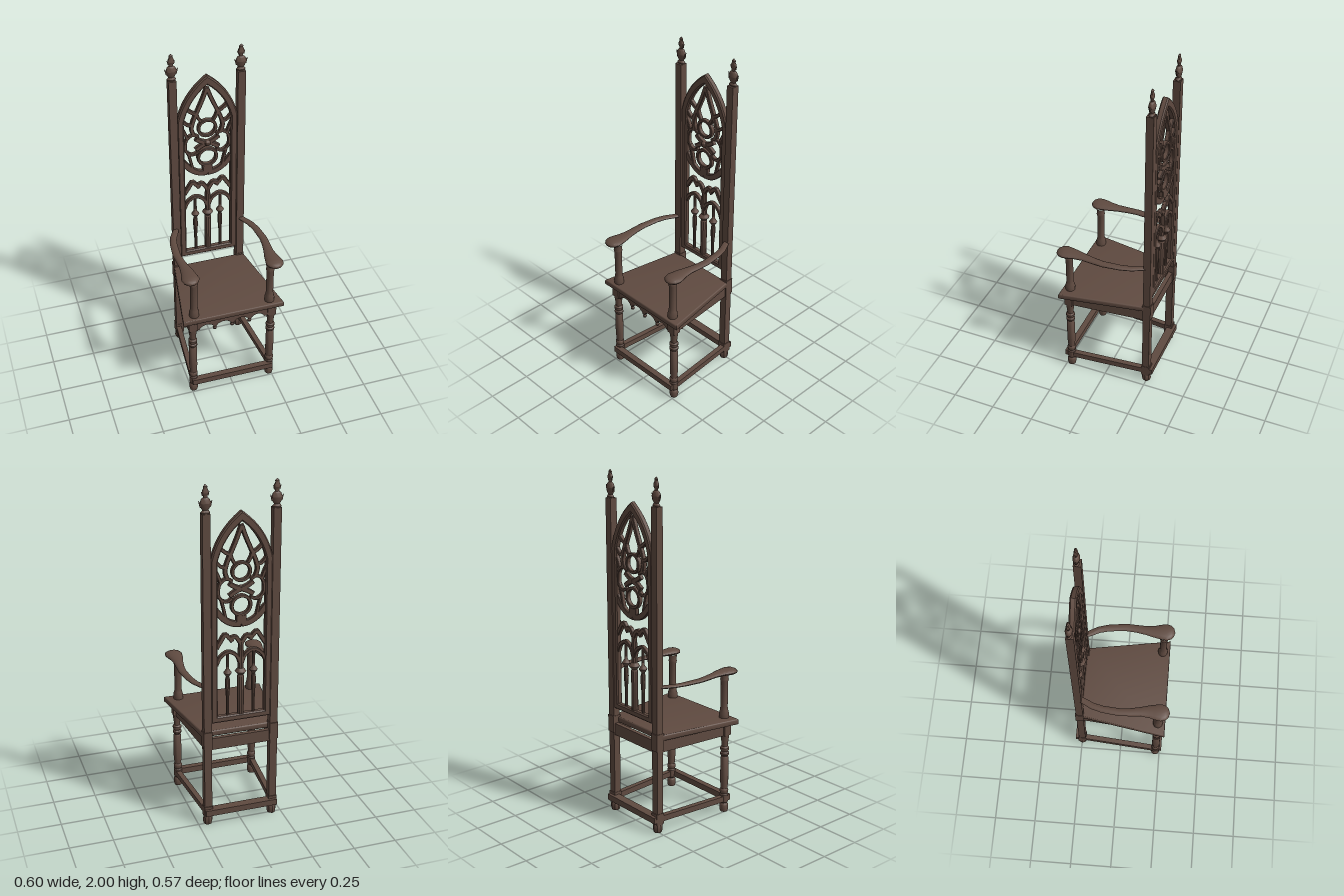
import * as THREE from 'three';
import { toCreasedNormals } from 'three/addons/utils/BufferGeometryUtils.js';

const V2 = (x, y) => new THREE.Vector2(x, y);

export function createModel() {
  const chair = new THREE.Group();
  chair.name = 'gothicArmchair';
  const wood = new THREE.MeshStandardMaterial({ color: 0x5f4a40 });
  wood.name = 'darkWood';

  const add = (name, geo, x = 0, y = 0, z = 0) => {
    const mesh = new THREE.Mesh(toCreasedNormals(geo, 0.6), wood);
    mesh.name = name;
    mesh.position.set(x, y, z);
    chair.add(mesh);
    return mesh;
  };
  const box = (name, w, h, d, x, y, z) => add(name, new THREE.BoxGeometry(w, h, d), x, y, z);
  // Turned part from [radius, height] pairs
  const turned = (name, pairs, x, z, sides = 16) =>
    add(name, new THREE.LatheGeometry(pairs.map(([r, y]) => V2(r, y)), sides), x, 0, z);
  // Flat shape given thickness, centred on depth z, with a small bevel
  const plate = (name, shape, depth, z, bevel = 0.004) => {
    const geo = new THREE.ExtrudeGeometry(shape, {
      depth: depth - 2 * bevel, bevelEnabled: true, bevelThickness: bevel,
      bevelSize: bevel, bevelOffset: -bevel, bevelSegments: 1, curveSegments: 14,
    });
    geo.translate(0, 0, bevel - depth / 2);
    return add(name, geo, 0, 0, z);
  };
  // Strip of constant width following a smooth curve in the back panel
  const BACK = -0.248;
  const strip = (name, pts, width, closed = false) => {
    const curve = new THREE.SplineCurve(pts.map(([x, y]) => V2(x, y)));
    const left = [], right = [], n = 16;
    for (let i = 0; i <= n; i++) {
      const p = curve.getPoint(i / n), t = curve.getTangent(i / n);
      left.push(V2(p.x - t.y * width / 2, p.y + t.x * width / 2));
      right.unshift(V2(p.x + t.y * width / 2, p.y - t.x * width / 2));
    }
    return plate(name, new THREE.Shape([...left, ...right]), 0.024, BACK, 0.003);
  };
  const ring = (name, x, y, outer, inner) => {
    const s = new THREE.Shape().absarc(x, y, outer, 0, Math.PI * 2);
    s.holes.push(new THREE.Path().absarc(x, y, inner, 0, Math.PI * 2, true));
    return plate(name, s, 0.026, BACK, 0.003);
  };
  // Straight bar between two floor-plan points
  const bar = (name, x0, z0, x1, z1, y, h, d) => {
    const m = box(name, Math.hypot(x1 - x0, z1 - z0), h, d, (x0 + x1) / 2, y, (z0 + z1) / 2);
    m.rotation.y = -Math.atan2(z1 - z0, x1 - x0);
  };

  // Tapered seat board
  const seat = new THREE.ExtrudeGeometry(
    new THREE.Shape([V2(-0.302, -0.267), V2(0.302, -0.267), V2(0.218, 0.235), V2(-0.218, 0.235)]),
    { depth: 0.019, bevelThickness: 0.008, bevelSize: 0.008, bevelOffset: -0.008, bevelSegments: 3 });
  seat.rotateX(-Math.PI / 2);
  add('seat', seat, 0, 0.558, 0);

  // Front apron with scallops and hanging drops
  const apron = new THREE.Shape([V2(0.215, 0.552), V2(-0.215, 0.552), V2(-0.215, 0.48)]);
  const stops = [-0.2, -0.105, 0, 0.105, 0.2];
  apron.lineTo(stops[0], 0.48);
  for (let i = 1; i < stops.length; i++) {
    const a = stops[i - 1], b = stops[i];
    apron.bezierCurveTo(a + 0.018, 0.517, b - 0.018, 0.517, b - 0.008, 0.48);
    apron.lineTo(b + (i < 4 ? 0.008 : 0), 0.48);
  }
  apron.lineTo(0.215, 0.48);
  plate('frontApron', apron, 0.024, 0.228, 0.002);
  for (const x of [-0.105, 0, 0.105])
    turned('apronDrop', [[0.0, 0.452], [0.01, 0.459], [0.012, 0.468], [0.007, 0.476], [0.012, 0.484], [0.01, 0.5]], x, 0.228, 10);
  box('backApron', 0.36, 0.07, 0.025, 0, 0.515, -0.248);

  // Low front and back stretchers
  box('frontStretcher', 0.5, 0.036, 0.035, 0, 0.083, 0.243);
  box('backStretcher', 0.43, 0.036, 0.05, 0, 0.083, -0.262);

  const finial = [[0.022, 1.84], [0.026, 1.852], [0.016, 1.864], [0.024, 1.876], [0.031, 1.9], [0.023, 1.922],
    [0.012, 1.93], [0.012, 1.94], [0.019, 1.953], [0.017, 1.966], [0.011, 1.978], [0.012, 1.988], [0, 2]];
  const frontLeg = [[0, 0], [0.022, 0.002], [0.026, 0.02], [0.025, 0.045], [0.018, 0.055], [0.024, 0.062],
    [0.025, 0.108], [0.02, 0.115], [0.025, 0.125], [0.025, 0.14], [0.02, 0.148], [0.024, 0.2], [0.023, 0.34],
    [0.018, 0.35], [0.026, 0.36], [0.026, 0.37], [0.019, 0.378], [0.026, 0.39], [0.026, 0.402], [0.018, 0.412],
    [0.019, 0.43], [0.024, 0.47], [0.026, 0.485]];
  const armPost = [[0.028, 0.583], [0.029, 0.612], [0.023, 0.632], [0.021, 0.65], [0.021, 0.8], [0.025, 0.815],
    [0.022, 0.826], [0.026, 0.855]];
  const column = [[0.009, 0.68], [0.009, 0.79], [0.014, 0.86], [0.013, 0.9], [0.009, 0.915], [0.024, 0.938],
    [0.009, 0.96], [0.009, 1.055]];
  // Arm stations: x, y, z, half width, half height
  const armStations = [[0.196, 0.859, -0.24, 0.016, 0.008], [0.206, 0.859, -0.215, 0.018, 0.009],
    [0.234, 0.86, -0.16, 0.02, 0.009], [0.25, 0.861, -0.1, 0.021, 0.01], [0.26, 0.862, 0, 0.023, 0.011],
    [0.256, 0.863, 0.06, 0.024, 0.012], [0.249, 0.865, 0.12, 0.028, 0.013], [0.245, 0.866, 0.17, 0.038, 0.015],
    [0.246, 0.866, 0.2, 0.045, 0.017], [0.246, 0.866, 0.235, 0.051, 0.019], [0.247, 0.866, 0.262, 0.043, 0.017],
    [0.247, 0.865, 0.278, 0.026, 0.011], [0.247, 0.865, 0.285, 0.0005, 0.0005]];

  for (const s of [-1, 1]) {
    const bx = s * 0.194;
    // Back post with foot and seat block
    box('backPost', 0.044, 1.80, 0.042, bx, 0.945, -0.245);
    box('backPostBlock', 0.05, 0.1, 0.05, bx, 0.545, -0.246);
    box('backPostAnkle', 0.049, 0.065, 0.049, bx, 0.085, -0.246);
    turned('backFoot', [[0, 0], [0.023, 0.001], [0.028, 0.02], [0.027, 0.042], [0.02, 0.056]], bx, -0.246, 8);

    // Flattened finial with paired leaves
    turned('finial', finial, bx, -0.248, 12).scale.z = 0.62;
    for (const [y, reach, size] of [[1.9, 0.029, 0.024], [1.953, 0.017, 0.016]])
      for (const side of [-1, 1]) {
        const leaf = add('finialLeaf', new THREE.ConeGeometry(size * 0.5, size * 1.5, 6), bx + side * reach, y, -0.248);
        leaf.rotation.z = -side * 0.55;
        leaf.scale.z = 0.7;
      }

    // Front leg, arm post and side rails
    turned('frontLeg', frontLeg, s * 0.237, 0.223);
    box('frontLegBlock', 0.052, 0.075, 0.048, s * 0.237, 0.52, 0.223);
    turned('armPost', armPost, s * 0.226, 0.223);
    bar('sideApron', s * 0.237, 0.21, s * 0.196, -0.235, 0.515, 0.068, 0.026);
    bar('sideStretcher', s * 0.24, 0.225, s * 0.2, -0.245, 0.083, 0.034, 0.03);

    // Swept arm, lofted from elliptical sections and swelling into a round end
    const pts = armStations.map(([x, y, z]) => new THREE.Vector3(s * x, y, z));
    const pos = [], idx = [], N = 14, up = new THREE.Vector3(0, 1, 0);
    pts.forEach((p, i) => {
      const t = pts[Math.min(i + 1, pts.length - 1)].clone().sub(pts[Math.max(i - 1, 0)]).setY(0).normalize();
      const n = up.clone().cross(t);
      const [, , , w, h] = armStations[i];
      for (let j = 0; j < N; j++) {
        const a = j / N * Math.PI * 2;
        pos.push(p.x + n.x * w * Math.cos(a), p.y + h * Math.sin(a), p.z + n.z * w * Math.cos(a));
        if (i < pts.length - 1) {
          const k = i * N + j, l = i * N + (j + 1) % N;
          idx.push(k, l, k + N, l, l + N, k + N);
        }
      }
    });
    const arm = new THREE.BufferGeometry();
    arm.setAttribute('position', new THREE.Float32BufferAttribute(pos, 3));
    arm.setIndex(idx);
    add('arm', arm);

    // Lower tracery: slim column, round arch and ogee arch
    turned('tracerySideColumn', column, s * 0.075, BACK, 10);
    const m = (list) => list.map(([x, y]) => [s * x, y]);
    strip('lancetArch', m([[0.006, 0.99], [0.025, 1.035], [0.072, 1.062], [0.118, 1.035], [0.14, 0.99]]), 0.02);
    strip('ogeeArch', m([[0, 1.1], [0.03, 1.145], [0.062, 1.14], [0.09, 1.165], [0.115, 1.13], [0.14, 1.09]]), 0.024);
    strip('ogeeCusp', m([[0.05, 1.12], [0.06, 1.135], [0.066, 1.15]]), 0.022);

    // Rose tracery: lower sweep, side lobes, crossing cusps
    strip('roseSweep', m([[0, 1.218], [0.05, 1.226], [0.1, 1.258], [0.142, 1.31]]), 0.034);
    strip('roseSideLobe', m([[0.05, 1.37], [0.085, 1.352], [0.122, 1.378], [0.128, 1.42], [0.118, 1.46], [0.085, 1.482], [0.05, 1.465]]), 0.017);
    for (const v of [-1, 1])
      strip('roseCusp', m([[0, 1.418], [0.035, 1.418 + v * 0.014], [0.068, 1.418 + v * 0.036]]), 0.026);
    strip('roseTie', m([[0.115, 1.46], [0.128, 1.5], [0.142, 1.53]]), 0.018);
    strip('lowerTie', m([[0.115, 1.375], [0.1, 1.32], [0.085, 1.25]]), 0.016);

    // Upper tracery: teardrop sides and short branches to the frame
    strip('teardropSide', m([[0, 1.77], [0.025, 1.7], [0.055, 1.63], [0.08, 1.57], [0.09, 1.52], [0.075, 1.475]]), 0.023);
    strip('teardropBranch', m([[0.06, 1.615], [0.085, 1.625], [0.12, 1.655]]), 0.02);
    strip('shoulderBranch', m([[0.083, 1.55], [0.11, 1.55], [0.14, 1.58]]), 0.018);
    strip('ringBranch', m([[0.035, 1.56], [0.05, 1.585], [0.06, 1.615]]), 0.018);
  }

  // Pointed back frame
  const frame = new THREE.Shape([V2(-0.174, 0.645), V2(0.174, 0.645), V2(0.174, 1.58)]);
  frame.quadraticCurveTo(0.14, 1.745, 0, 1.847);
  frame.quadraticCurveTo(-0.14, 1.745, -0.174, 1.58);
  const opening = new THREE.Path([V2(-0.135, 0.682), V2(-0.135, 1.575)]);
  opening.quadraticCurveTo(-0.1, 1.715, 0, 1.79);
  opening.quadraticCurveTo(0.1, 1.715, 0.135, 1.575);
  opening.lineTo(0.135, 0.682);
  frame.holes.push(opening);
  plate('backFrame', frame, 0.036, BACK, 0.007);

  // Centre mullion and rose rings
  turned('centreMullion', [[0.019, 0.68], [0.019, 0.91], [0.016, 0.918], [0.032, 0.938], [0.016, 0.958],
    [0.017, 1.06], [0.013, 1.115]], 0, BACK, 10);
  ring('upperRoseRing', 0, 1.515, 0.058, 0.041);
  ring('lowerRoseRing', 0, 1.325, 0.062, 0.044);
  add('roseBoss', new THREE.SphereGeometry(0.019, 10, 8), 0, 1.418, BACK + 0.006);
  strip('roseStem', [[0, 1.215], [0, 1.24], [0, 1.27]], 0.06);

  return chair;
}
